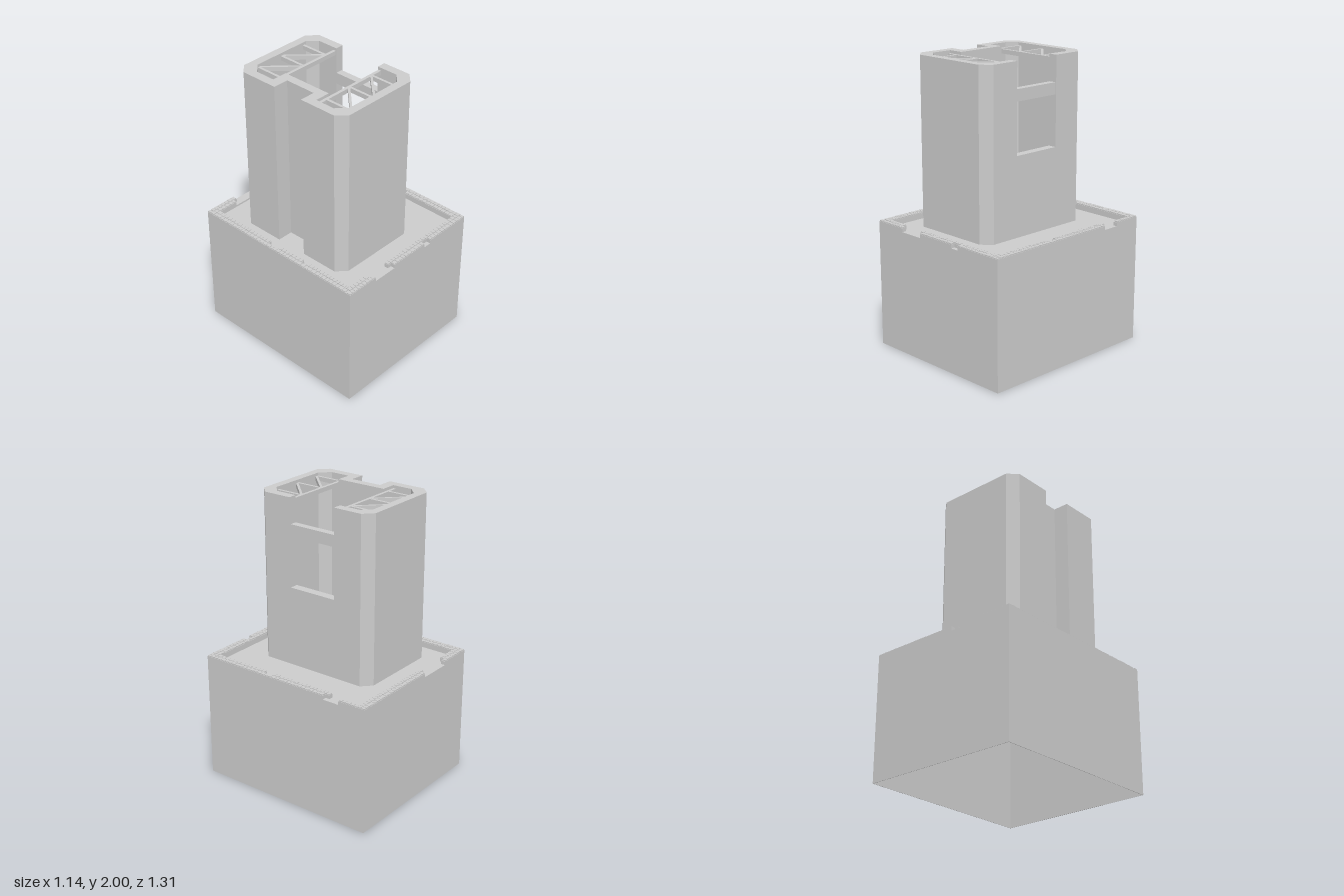
import * as THREE from 'three';

const mat = new THREE.MeshStandardMaterial({ color: 0xcccccc, flatShading: true, side: THREE.DoubleSide });

function add(parent, name, geo, x = 0, y = 0, z = 0) {
  const m = new THREE.Mesh(geo, mat);
  m.name = name;
  m.position.set(x, y, z);
  parent.add(m);
  return m;
}

// Box given by its limits on each axis
function block(parent, name, x0, x1, y0, y1, z0, z1) {
  return add(parent, name, new THREE.BoxGeometry(x1 - x0, y1 - y0, z1 - z0),
    (x0 + x1) / 2, (y0 + y1) / 2, (z0 + z1) / 2);
}

// Upright prism from a plan outline of [x, z] points, with an optional hole
function prism(parent, name, outline, hole, y0, y1) {
  const pts = (list) => list.map(([x, z]) => new THREE.Vector2(x, -z));
  const shape = new THREE.Shape(pts(outline));
  if (hole) shape.holes.push(new THREE.Path(pts(hole)));
  const geo = new THREE.ExtrudeGeometry(shape, { depth: y1 - y0, bevelEnabled: false });
  geo.rotateX(-Math.PI / 2);
  return add(parent, name, geo, 0, y0, 0);
}

const rect = (x, z) => [[-x, -z], [x, -z], [x, z], [-x, z]];
// Complete a half plan (z > 0) with its mirror image
const mirrorZ = (half) => [...half, ...half.map(([x, z]) => [x, -z]).reverse()];

const W = 0.57, D = 0.655, TOP = 0.888, LEDGE = 0.855, FLOOR = 0.842;

function buildBase() {
  const base = new THREE.Group();
  base.name = 'base';
  // Hollow block, open underneath
  prism(base, 'baseWalls', rect(W, D), rect(W - 0.003, D - 0.003), 0, LEDGE);
  prism(base, 'roofLedge', rect(W, D), rect(W - 0.06, D - 0.06), 0.82, LEDGE);
  block(base, 'roofFloor', -W + 0.06, W - 0.06, 0.83, FLOOR, -D + 0.06, D - 0.06);
  return base;
}

// Parapet: two rows of small bricks on each edge, with broken gaps
function buildParapet() {
  const parapet = new THREE.Group();
  parapet.name = 'parapet';
  let seed = 7;
  const rand = () => (seed = (seed * 16807) % 2147483647) / 2147483647;
  const row = 0.03;

  function brickRow(axis, side, inner, gaps) {
    const edge = (axis === 'x' ? D : W) - (inner ? row : 0);
    // Edges along x fill the corners, edges along z stop short of them
    const end = axis === 'x' ? (inner ? W - row : W) : (inner ? D - 2 * row : D - row);
    const lay = (name, a, b, y0, y1, inset) => {
      const lo = Math.min(side * edge, side * (edge - row)) + inset;
      const hi = lo + row - 2 * inset;
      if (axis === 'x') block(parapet, name, a, b, y0, y1, lo, hi);
      else block(parapet, name, lo, hi, y0, y1, a, b);
    };
    let a = -end;
    for (const [g0, g1] of [...gaps, [end, end]]) {
      lay('parapetCourse', a, g0, LEDGE - 0.01, 0.88, 0);
      // Loose-sized bricks on top of the course
      for (let p = a; p < g0 - 0.012;) {
        const q = Math.min(p + 0.024 + rand() * 0.011, g0);
        lay('brick', p + 0.002, q - 0.002, 0.878, TOP - rand() * 0.002, 0.002);
        p = q;
      }
      a = g1;
    }
  }

  brickRow('x', -1, false, [[-0.33, -0.09]]);
  brickRow('x', -1, true, [[-0.36, -0.12]]);
  brickRow('x', 1, false, [[-0.33, -0.15], [0.15, 0.21]]);
  brickRow('x', 1, true, [[-0.36, -0.18]]);
  brickRow('z', 1, false, [[-0.45, -0.33]]);
  brickRow('z', 1, true, [[-0.595, -0.36], [0.11, 0.18]]);
  brickRow('z', -1, false, []);
  brickRow('z', -1, true, [[-0.1, -0.01], [0.2, 0.24]]);
  return parapet;
}

// Chamfered hollow tower with a recess in one side and a window in the other
function buildTower() {
  const tower = new THREE.Group();
  tower.name = 'tower';
  const sill = 1.39, win = 0.178;
  const outer = [[-0.315, 0.113], [-0.425, 0.113], [-0.425, 0.385], [-0.36, 0.448],
    [0.19, 0.448], [0.257, 0.385]];
  const inner = [[-0.257, 0.183], [-0.365, 0.183], [-0.365, 0.325], [-0.3, 0.39],
    [0.135, 0.39], [0.197, 0.33]];
  prism(tower, 'lowerWall', mirrorZ(outer), mirrorZ(inner), FLOOR, sill);
  // Above the sill the wall is a C, open at the window
  const cPlan = [
    [0.257, win], ...[...outer].reverse(),
    ...outer.map(([x, z]) => [x, -z]), [0.257, -win], [0.197, -win],
    ...[...inner].reverse().map(([x, z]) => [x, -z]),
    ...inner, [0.197, win],
  ];
  prism(tower, 'upperWall', cPlan, null, sill, 2);
  block(tower, 'windowBeam', 0.2, 0.25, 1.74, 1.82, -win, win);

  // Open roof truss in each end
  for (const s of [-1, 1]) {
    const truss = new THREE.Group();
    truss.name = s > 0 ? 'frontTruss' : 'backTruss';
    const bar = (name, x0, z0, x1, z1, w) => {
      const len = Math.hypot(x1 - x0, z1 - z0);
      const m = add(truss, name, new THREE.BoxGeometry(len, 0.03, w),
        (x0 + x1) / 2, 1.965, s * (z0 + z1) / 2);
      m.rotation.y = -Math.atan2(s * (z1 - z0), x1 - x0);
    };
    bar('trussChord', -0.365, 0.194, 0.197, 0.194, 0.021);
    for (const x of [-0.29, -0.086, 0.115]) bar('trussPost', x, 0.2, x, 0.392, 0.018);
    for (const x of [-0.28, -0.075]) bar('trussDiagonal', x, 0.388, x + 0.18, 0.205, 0.016);
    tower.add(truss);
  }
  return tower;
}

export function createModel() {
  const model = new THREE.Group();
  model.name = 'towerBuilding';
  model.add(buildBase(), buildParapet(), buildTower());
  return model;
}
